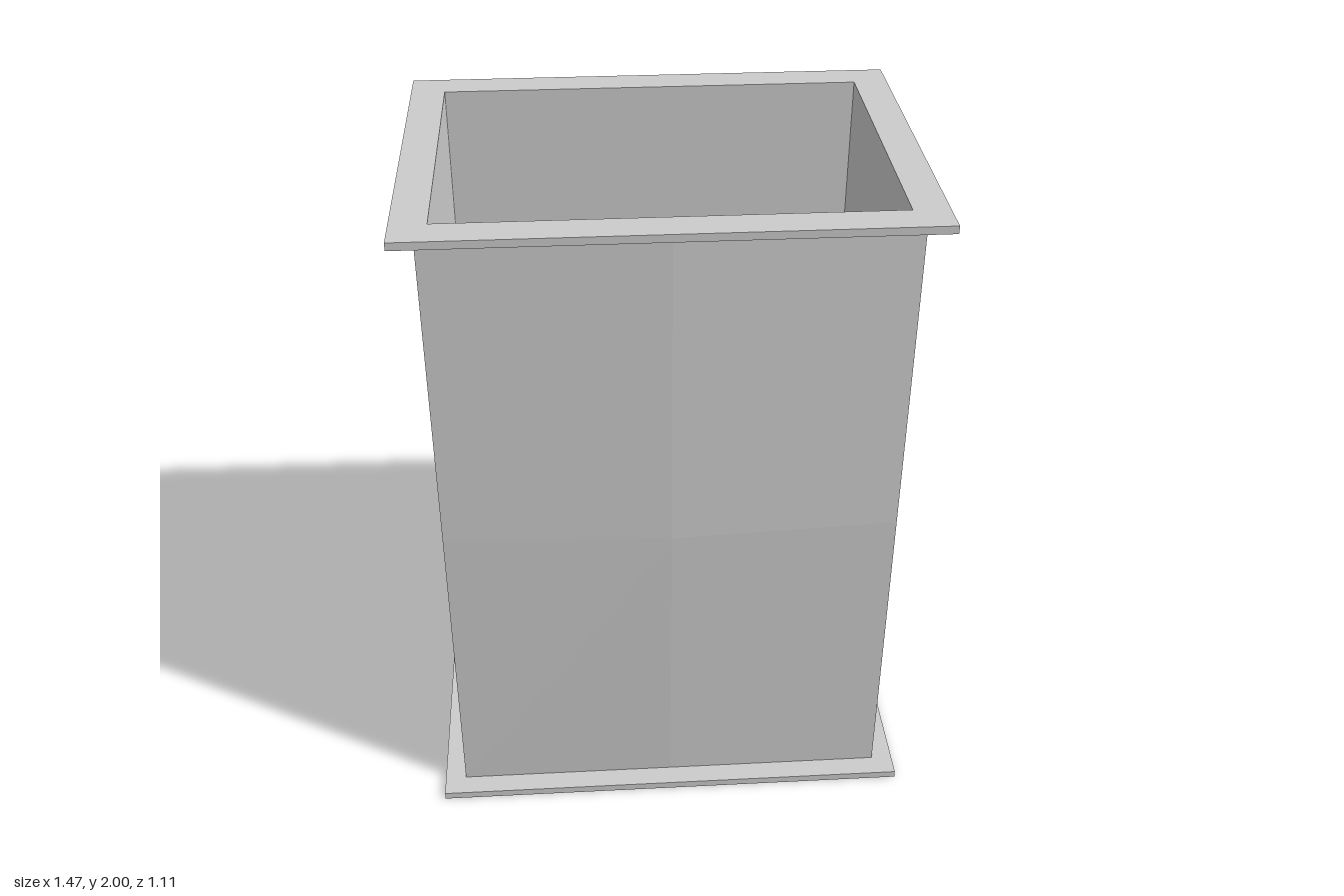
import * as THREE from 'three';

const HEIGHT = 2, FLANGE = 0.023;
const OUTER = [0.669, 0.489]; // half width and depth of the duct walls
const INNER = [0.632, 0.455]; // half width and depth of the clear opening
const RIM = [0.734, 0.557]; // half width and depth of the flanges

const material = new THREE.MeshStandardMaterial({ color: 0xcccccc, flatShading: true });

function addMesh(parent, name, geometry) {
  const mesh = new THREE.Mesh(geometry, material);
  mesh.name = name;
  parent.add(mesh);
  return mesh;
}

// Sheet panel of 2 x 2 cells whose middle point is pushed outwards
function panel(width, distance, bulge, angle) {
  const height = HEIGHT - 2 * FLANGE;
  const geometry = new THREE.PlaneGeometry(width, height, 2, 2);
  geometry.attributes.position.setZ(4, bulge);
  geometry.translate(0, HEIGHT / 2, distance);
  geometry.rotateY(angle);
  return geometry;
}

// Flat rectangular ring lying on y = 0
function flange() {
  const shape = new THREE.Shape();
  const corners = ([x, z]) => [[-x, -z], [x, -z], [x, z], [-x, z]].map(p => new THREE.Vector2(...p));
  shape.setFromPoints(corners(RIM));
  shape.holes.push(new THREE.Path(corners(INNER).reverse()));
  const geometry = new THREE.ExtrudeGeometry(shape, { depth: FLANGE, bevelEnabled: false });
  geometry.rotateX(-Math.PI / 2);
  return geometry;
}

export function createModel() {
  const duct = new THREE.Group();
  duct.name = 'duct';

  // Four bulged outer walls and four straight inner walls
  ['front', 'left', 'back', 'right'].forEach((side, i) => {
    const across = i % 2, along = 1 - across;
    const angle = i * Math.PI / 2;
    const bulge = across ? 0.042 : 0.035;
    addMesh(duct, side + 'OuterWall', panel(2 * OUTER[across], OUTER[along], bulge, angle));
    addMesh(duct, side + 'InnerWall', panel(2 * INNER[across], -INNER[along], 0, angle + Math.PI));
  });

  // Flanges at both ends
  addMesh(duct, 'bottomFlange', flange());
  addMesh(duct, 'topFlange', flange()).position.y = HEIGHT - FLANGE;

  return duct;
}
